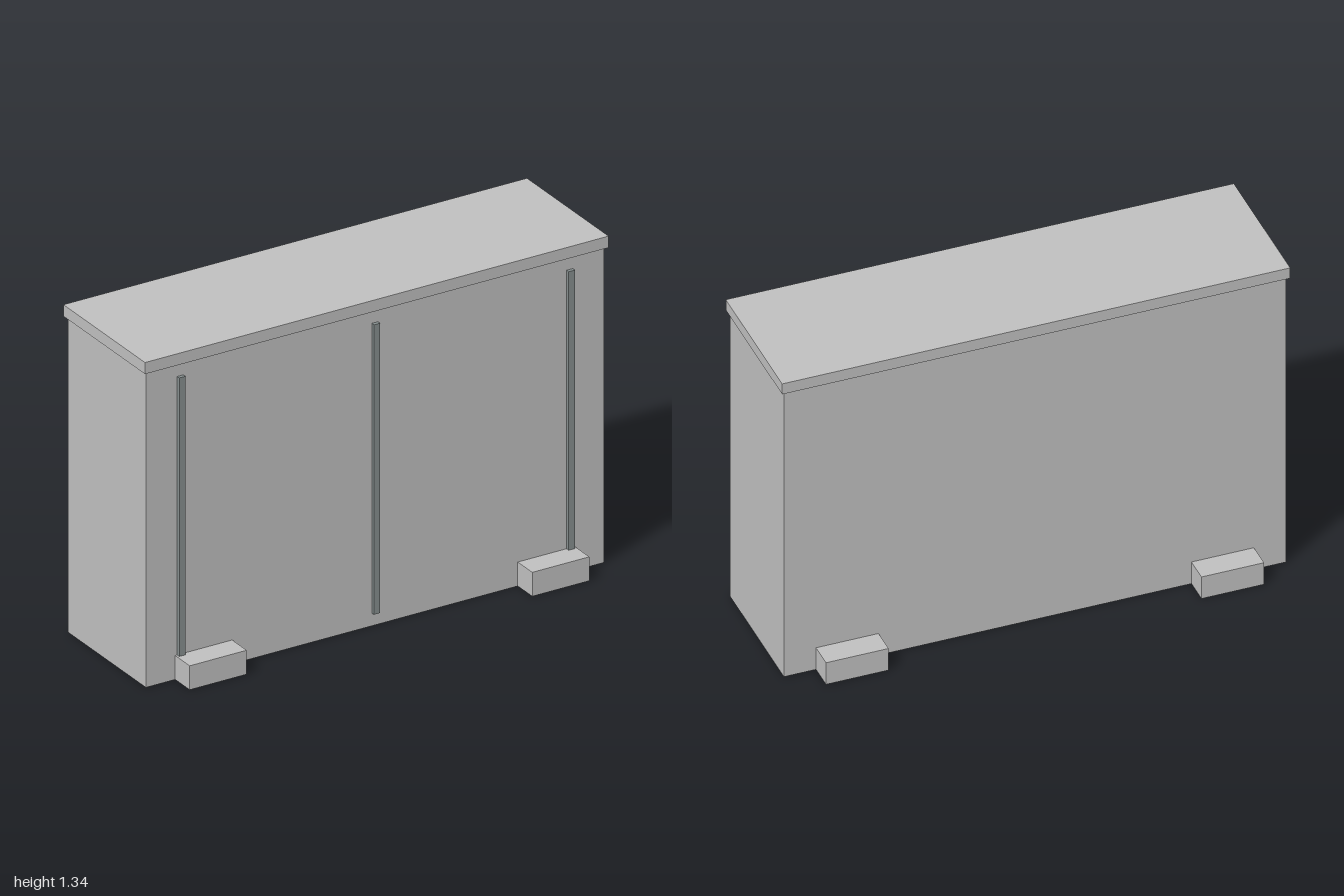
import * as THREE from 'three';

export function createModel() {
  const group = new THREE.Group();
  const lightGrey = new THREE.MeshStandardMaterial({ color: 0xc0c0c0 });
  lightGrey.name = 'lightGrey';
  const slateGrey = new THREE.MeshStandardMaterial({ color: 0x879090 });
  slateGrey.name = 'slateGrey';

  // Box given by its minimum and maximum corners
  function box(name, material, [x0, y0, z0], [x1, y1, z1]) {
    const mesh = new THREE.Mesh(new THREE.BoxGeometry(x1 - x0, y1 - y0, z1 - z0), material);
    mesh.position.set((x0 + x1) / 2, (y0 + y1) / 2, (z0 + z1) / 2);
    mesh.name = name;
    group.add(mesh);
  }

  // Main cabinet and its overhanging top slab
  box('body', lightGrey, [-0.988, 0, -0.271], [0.988, 1.288, 0.271]);
  box('topSlab', lightGrey, [-1, 1.288, -0.284], [1, 1.335, 0.284]);

  // Four foot blocks, front and back on each side
  for (const side of [-1, 1]) {
    const label = side > 0 ? 'left' : 'right';
    const xs = [0.616 * side, 0.862 * side].sort((a, b) => a - b);
    box(label + 'FrontFoot', lightGrey, [xs[0], 0, 0.271], [xs[1], 0.098, 0.372]);
    box(label + 'BackFoot', lightGrey, [xs[0], 0, -0.372], [xs[1], 0.098, -0.271]);
  }

  // Three slim vertical strips on the front
  for (const [name, x] of [['rightStrip', -0.84], ['middleStrip', 0], ['leftStrip', 0.84]]) {
    box(name, slateGrey, [x - 0.0135, 0.052, 0.271], [x + 0.0135, 1.235, 0.286]);
  }
  return group;
}
